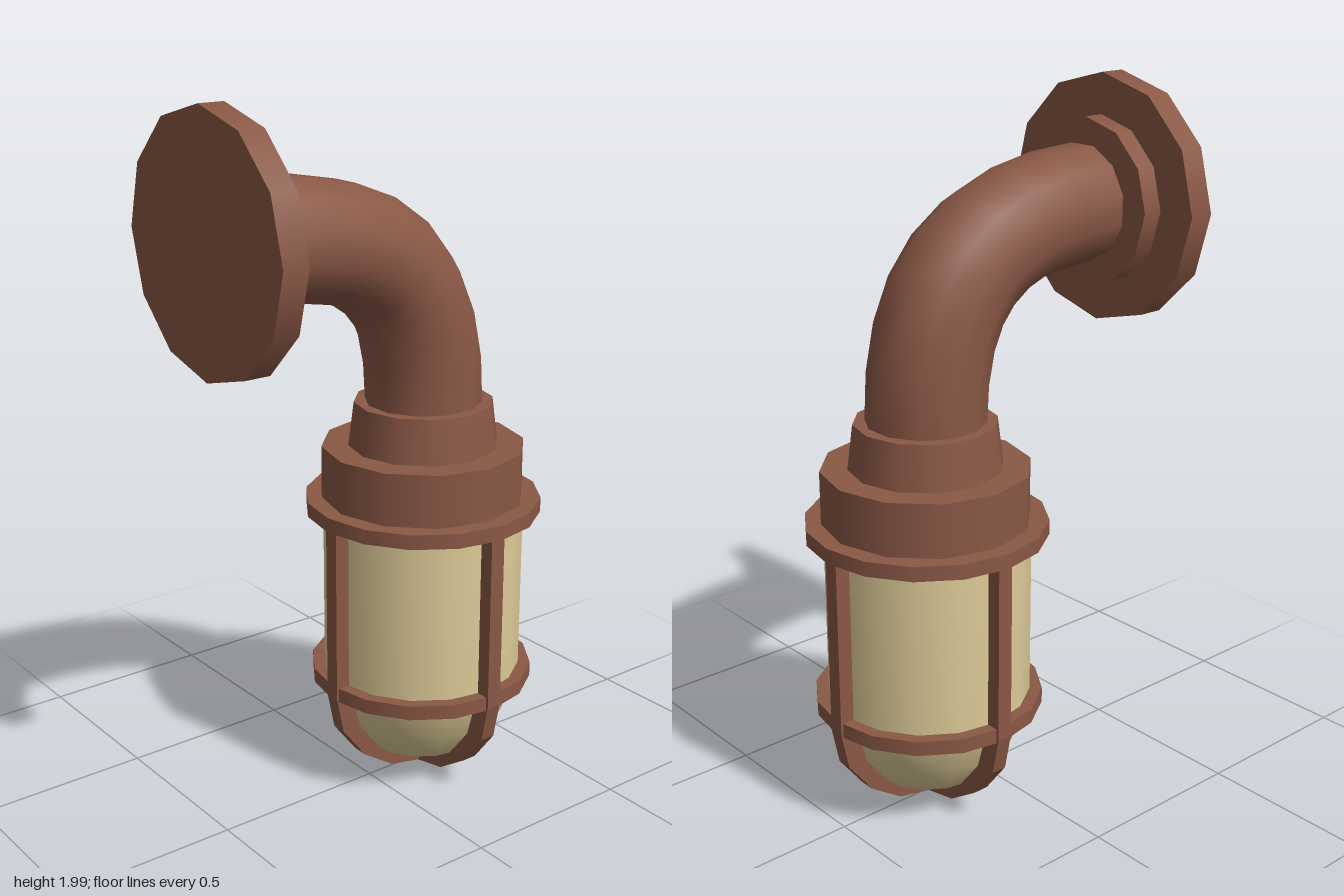
import * as THREE from 'three';
import { ParametricGeometry } from 'three/addons/geometries/ParametricGeometry.js';

export function createModel() {
  const model = new THREE.Group();
  model.name = 'wallLantern';
  const copper = new THREE.MeshStandardMaterial({ color: 0x8a5845 });
  copper.name = 'copper brown';
  const cream = new THREE.MeshStandardMaterial({ color: 0xdfcc98 });
  cream.name = 'cream glass';

  const add = (name, geometry, material, parent) => {
    const mesh = new THREE.Mesh(geometry, material);
    mesh.name = name;
    parent.add(mesh);
    return mesh;
  };

  // Wall plate and its raised boss, facing along z
  const disc = (name, radius, z0, z1) => {
    const g = new THREE.CylinderGeometry(radius, radius, z1 - z0, 12).rotateX(Math.PI / 2);
    add(name, g, copper, model).position.set(-0.002, 1.653, (z0 + z1) / 2);
  };
  disc('wallPlate', 0.347, 0.44, 0.515);
  disc('wallBoss', 0.233, 0.38, 0.44);

  // Curved pipe: 12-sided rings swept along a bend in the yz plane
  const axisX = 0.008, axisZ = -0.185;
  const bend = new THREE.CubicBezierCurve3(
    new THREE.Vector3(axisX, 1.65, 0.385),
    new THREE.Vector3(axisX, 1.65, -0.02),
    new THREE.Vector3(axisX, 1.5, axisZ),
    new THREE.Vector3(axisX, 1.12, axisZ)
  );
  const pipe = new ParametricGeometry((u, v, target) => {
    const t = bend.getTangent(v);
    const a = u * Math.PI * 2 + Math.PI / 12;
    const r = 0.165;
    target.copy(bend.getPoint(v));
    target.x += r * Math.cos(a);
    target.y -= r * Math.sin(a) * t.z;
    target.z += r * Math.sin(a) * t.y;
  }, 12, 8);
  const pipeMaterial = copper;
  pipeMaterial.side = THREE.DoubleSide;
  // Make the winding face outward whatever the sweep direction
  const p = pipe.attributes.position, n = pipe.attributes.normal;
  const out = new THREE.Vector3().fromBufferAttribute(p, 0).sub(bend.getPoint(0));
  if (out.dot(new THREE.Vector3().fromBufferAttribute(n, 0)) < 0) {
    const index = Array.from(pipe.index.array).reverse();
    pipe.setIndex(index);
    for (let i = 0; i < n.count; i++) n.setXYZ(i, -n.getX(i), -n.getY(i), -n.getZ(i));
  }
  add('pipe', pipe, pipeMaterial, model);

  // Lantern hangs on the vertical axis of the pipe's end
  const lantern = new THREE.Group();
  lantern.name = 'lantern';
  lantern.position.set(axisX, 0, axisZ);
  model.add(lantern);

  const drum = (name, top, bottom, y0, y1, sides) => {
    const g = new THREE.CylinderGeometry(top, bottom, y1 - y0, sides);
    add(name, g, copper, lantern).position.y = (y0 + y1) / 2;
  };
  drum('collar', 0.197, 0.213, 1.01, 1.137, 12);
  drum('cap', 0.289, 0.289, 0.85, 1.01, 12);
  drum('upperHoop', 0.336, 0.336, 0.817, 0.859, 16);
  drum('lowerHoop', 0.322, 0.322, 0.3, 0.342, 16);

  // Glass: rounded bottom and straight wall
  const glassProfile = [[0, 0.047], [0.08, 0.052], [0.17, 0.1], [0.245, 0.195],
    [0.272, 0.29], [0.287, 0.33], [0.287, 0.83]].map(([x, y]) => new THREE.Vector2(x, y));
  add('glass', new THREE.LatheGeometry(glassProfile, 16), cream, lantern);

  // Cage: two crossing U-shaped straps
  const outer = [[0.325, 0.83], [0.325, 0.31], [0.302, 0.2], [0.225, 0.1], [0.125, 0.033], [0, 0.008]];
  const inner = [[0, 0.055], [0.1, 0.075], [0.175, 0.125], [0.235, 0.205], [0.265, 0.31], [0.265, 0.83]];
  const mirror = (points) => points.filter(([x]) => x > 0).reverse().map(([x, y]) => [-x, y]);
  const loop = [...outer, ...mirror(outer), ...mirror(inner), ...inner];
  const strapShape = new THREE.Shape(loop.map(([x, y]) => new THREE.Vector2(x, y)));
  for (let i = 0; i < 2; i++) {
    const g = new THREE.ExtrudeGeometry(strapShape, { depth: 0.045, bevelEnabled: false });
    g.translate(0, 0, -0.0225);
    add('cageStrap' + (i + 1), g, copper, lantern).rotation.y = i * Math.PI / 2;
  }

  return model;
}
